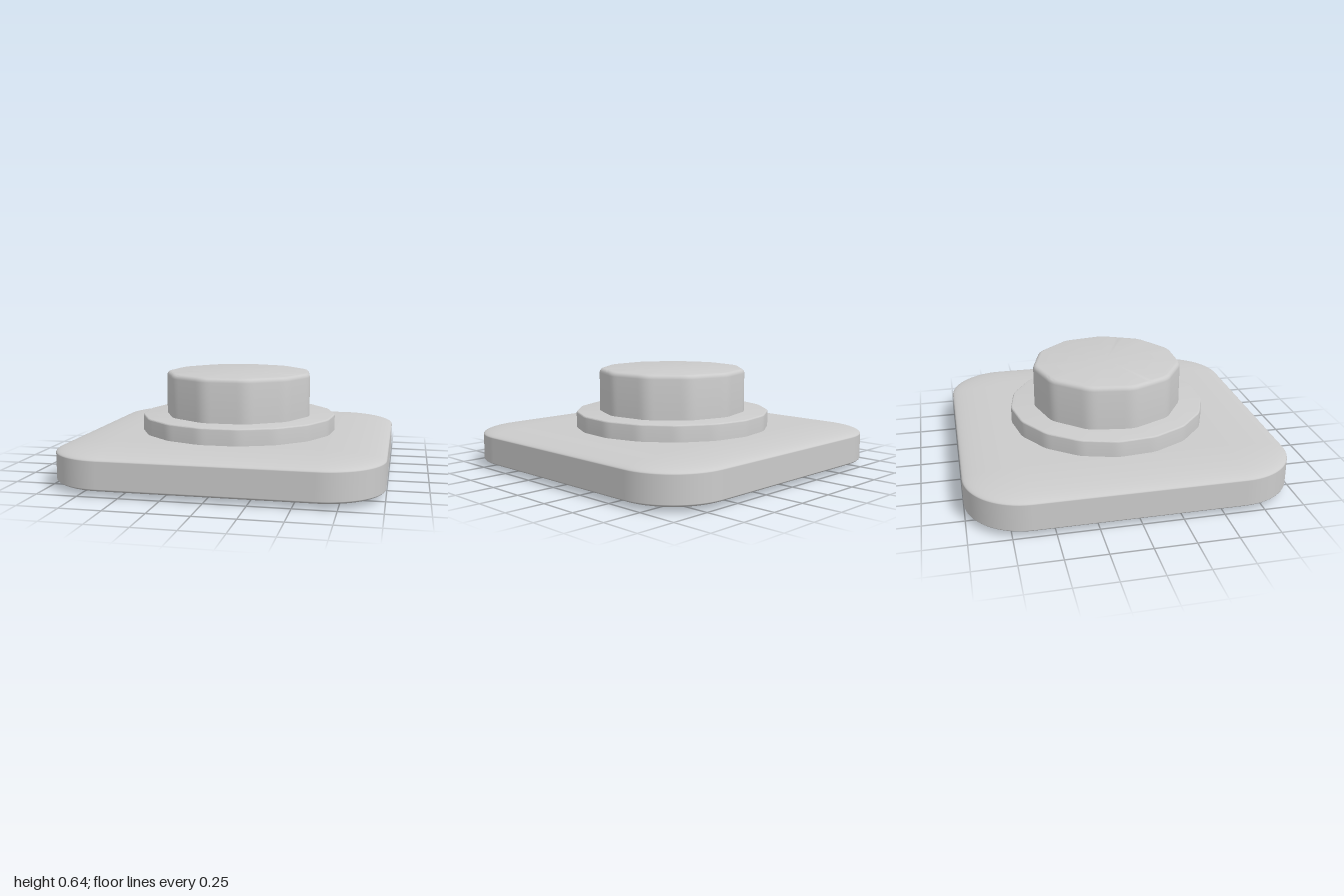
import * as THREE from 'three';
import { toCreasedNormals } from 'three/addons/utils/BufferGeometryUtils.js';
import { RoundedBoxGeometry } from 'three/addons/geometries/RoundedBoxGeometry.js';

const material = new THREE.MeshStandardMaterial({ color: 0xcccccc });

// Square slab: wide rounding in plan, shallow rounding over the top and bottom
function slabGeometry(height, radius, lip) {
  const core = height / 2 - lip;
  const squash = lip / radius;
  const geometry = new RoundedBoxGeometry(2, 2 * (core + radius), 2, 10, radius);
  const { position, normal } = geometry.attributes;
  const n = new THREE.Vector3();
  for (let i = 0; i < position.count; i++) {
    const y = position.getY(i);
    const over = Math.max(Math.abs(y) - core, 0);
    if (over > 0) position.setY(i, Math.sign(y) * (core + over * squash));
    n.fromBufferAttribute(normal, i);
    n.y /= squash;
    n.normalize();
    normal.setXYZ(i, n.x, n.y, n.z);
  }
  return geometry.translate(0, height / 2, 0);
}

// Disc with softened polygon sides (one flat to the front) and a rounded top edge
function discGeometry(sides, apothem, maxRadius, y0, y1, bevel) {
  const profile = [new THREE.Vector2(0, y0), new THREE.Vector2(1, y0)];
  for (let i = 0; i <= 4; i++) {
    const a = (i / 4) * Math.PI / 2;
    profile.push(new THREE.Vector2(
      1 - bevel / apothem * (1 - Math.cos(a)), y1 - bevel * (1 - Math.sin(a))));
  }
  profile.push(new THREE.Vector2(0, y1));
  const geometry = new THREE.LatheGeometry(profile, sides * 10);
  const position = geometry.attributes.position;
  const step = 2 * Math.PI / sides;
  for (let i = 0; i < position.count; i++) {
    const x = position.getX(i), z = position.getZ(i);
    const angle = Math.atan2(x, z);
    const offset = angle - Math.round(angle / step) * step;
    const r = Math.min(apothem / Math.cos(offset), maxRadius);
    position.setXYZ(i, x * r, position.getY(i), z * r);
  }
  return toCreasedNormals(geometry, 0.6);
}

export function createModel() {
  const group = new THREE.Group();
  const add = (name, geometry) => {
    const mesh = new THREE.Mesh(geometry, material);
    mesh.name = name;
    group.add(mesh);
  };
  add('basePlate', slabGeometry(0.255, 0.37, 0.047));
  add('collar', discGeometry(17, 0.63, 0.638, 0.2, 0.36, 0.01));
  add('button', discGeometry(11, 0.468, 0.482, 0.3, 0.64, 0.028));
  return group;
}
